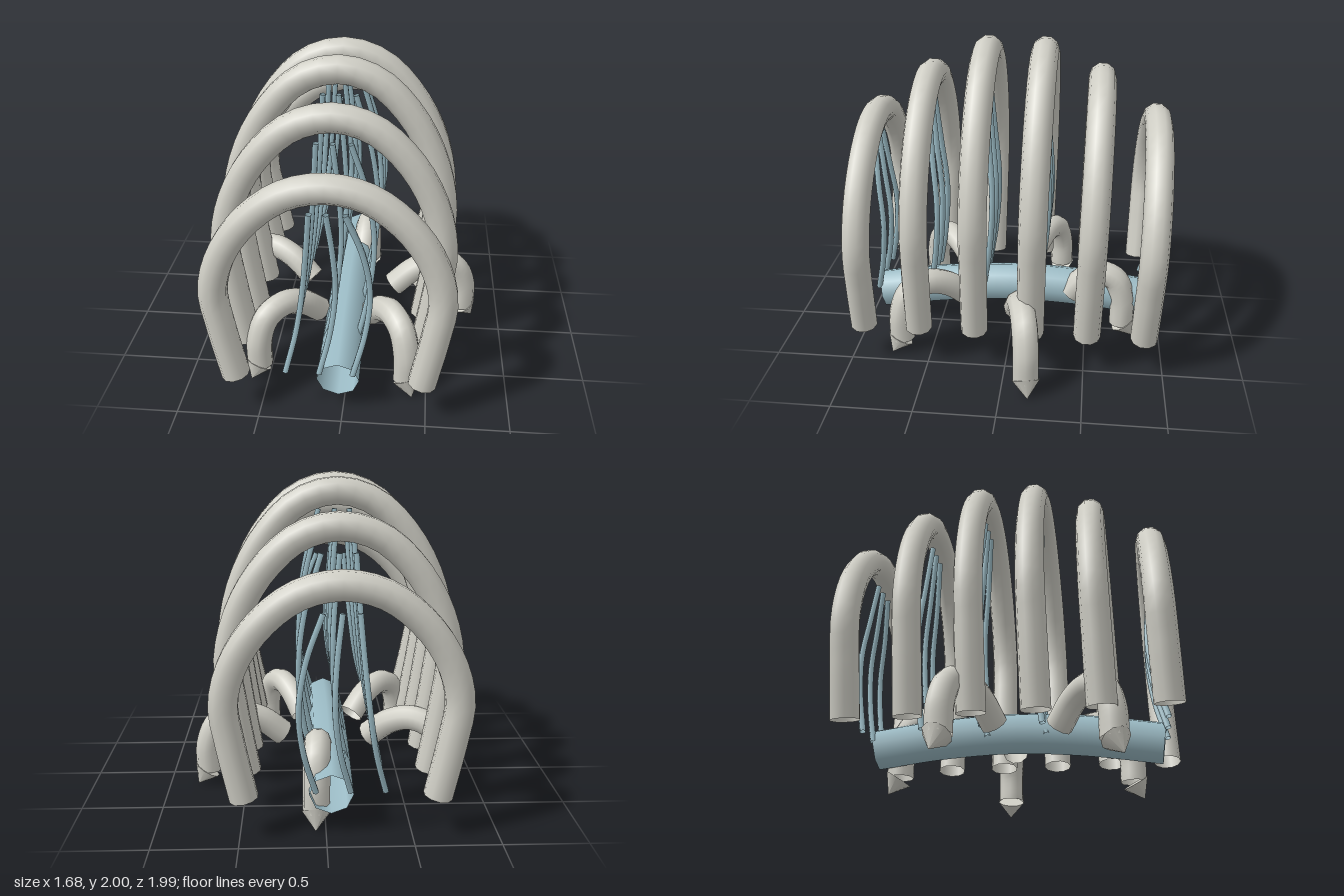
import * as THREE from 'three';

const bone = new THREE.MeshStandardMaterial({ color: 0xd0cfc6, side: THREE.DoubleSide });
bone.name = 'bone grey';
const sinew = new THREE.MeshStandardMaterial({ color: 0x9cbcc6, side: THREE.DoubleSide });
sinew.name = 'pale blue';

// Open-ended tube swept through a list of [x, y, z] points
function tube(name, points, radius, segments, sides, material) {
  const curve = new THREE.CatmullRomCurve3(points.map(p => new THREE.Vector3(...p)));
  const mesh = new THREE.Mesh(new THREE.TubeGeometry(curve, segments, radius, sides), material);
  mesh.name = name;
  return mesh;
}

// Half rib outline: [sideways offset, fraction of height]
const RIB_HALF = [[0.555, 0], [0.625, 0.28], [0.655, 0.47], [0.59, 0.66], [0.445, 0.83], [0.235, 0.958]];
const RIB_X = -0.085;

function rib(z, top) {
  const left = RIB_HALF.map(([x, t]) => [-x, t]);
  const right = RIB_HALF.map(([x, t]) => [x, t]).reverse();
  const pts = [...left, [0, 1], ...right]
    .map(([x, t]) => [RIB_X + x, 0.25 + t * (top - 0.085 - 0.25), z - 0.033 * t]);
  return tube('rib', pts, 0.086, 40, 10, bone);
}

// Strand outlines: x at five evenly spaced heights
const STRANDS = [
  [-0.34, -0.275, -0.235, -0.205, -0.18],
  [-0.14, -0.075, -0.045, -0.055, -0.085],
  [0.06, 0.13, 0.155, 0.115, 0.02],
];
const STRAND_BOW = [0, -0.06, -0.085, -0.06, -0.03];

function strands(z, top) {
  const group = new THREE.Group();
  group.name = 'strands';
  for (const xs of STRANDS) {
    const pts = xs.map((x, i) => [x, 0.28 + (i / 4) * (top - 0.24 - 0.28), z + STRAND_BOW[i]]);
    group.add(tube('strand', pts, 0.019, 20, 6, sinew));
  }
  return group;
}

// Leg outline: [fraction from hip to ankle, height]
const LEG = [[0, 0.3], [0.3, 0.42], [0.6, 0.465], [0.86, 0.42], [0.99, 0.28], [1, 0.1]];

function leg(x0, z0, x1, z1) {
  const group = new THREE.Group();
  group.name = 'leg';
  const pts = LEG.map(([t, y]) => [x0 + (x1 - x0) * t, y, z0 + (z1 - z0) * t]);
  group.add(tube('legTube', pts, 0.082, 24, 10, bone));

  // Claw tilts outward from the ankle
  const out = new THREE.Vector3(x1 - x0, 0, z1 - z0).normalize();
  const dir = out.clone().multiplyScalar(0.55).add(new THREE.Vector3(0, -0.85, 0)).normalize();
  const claw = new THREE.Mesh(new THREE.ConeGeometry(0.088, 0.115, 10), bone);
  claw.name = 'claw';
  claw.quaternion.setFromUnitVectors(new THREE.Vector3(0, 1, 0), dir);
  claw.position.set(x1, 0.097, z1).addScaledVector(out, 0.012).addScaledVector(dir, 0.0575);
  group.add(claw);
  return group;
}

export function createModel() {
  const model = new THREE.Group();
  model.name = 'ribCage';

  // Arched ribs, each with its three strands
  const tops = [1.58, 1.84, 2, 2, 1.84, 1.58];
  tops.forEach((top, i) => {
    const z = 0.912 - i * 0.357;
    model.add(rib(z, top), strands(z, top));
  });

  // Bowed hollow spine along the floor
  model.add(tube('spine', [
    [-0.03, 0.222, 0.89], [-0.03, 0.29, 0.45], [-0.03, 0.325, 0],
    [-0.03, 0.31, -0.45], [-0.03, 0.262, -0.87],
  ], 0.128, 20, 8, sinew));

  // Five legs spread around the spine: hip x, z and ankle x, z
  const legs = [
    [-0.3, -0.09, -0.76, -0.305],
    [0.26, -0.05, 0.745, -0.155],
    [-0.21, 0.28, -0.555, 0.61],
    [0.13, 0.29, 0.375, 0.69],
    [0.03, -0.39, 0.055, -0.745],
  ];
  for (const l of legs) model.add(leg(...l));

  return model;
}
